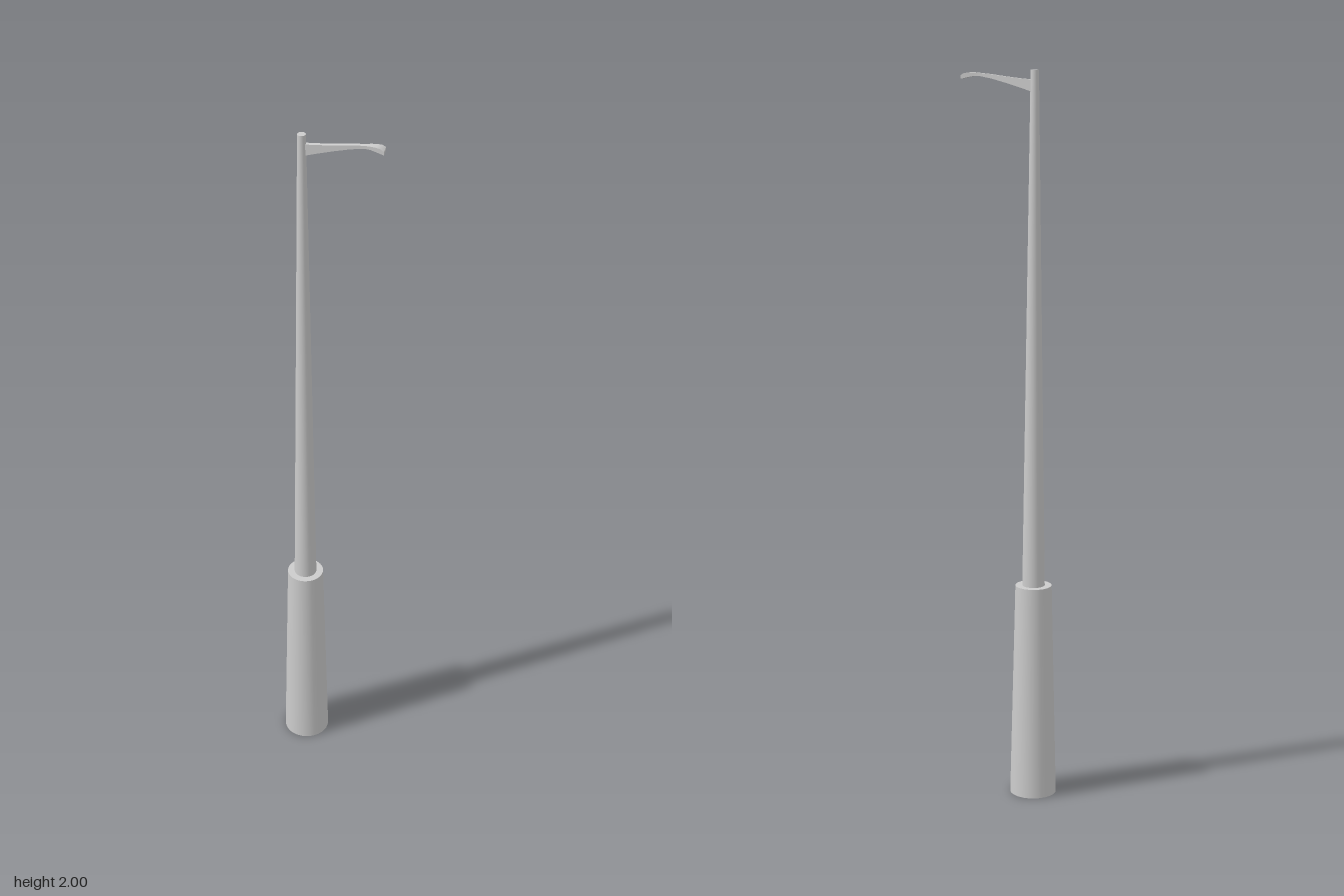
import * as THREE from 'three';

const AXIS_X = -0.073;

export function createModel() {
  const group = new THREE.Group();
  const material = new THREE.MeshStandardMaterial({ color: 0xcccccc });

  const add = (name, geometry, x = 0, y = 0) => {
    const mesh = new THREE.Mesh(geometry, material);
    mesh.name = name;
    mesh.position.set(x, y, 0);
    group.add(mesh);
  };

  // Tapered sleeve at the foot and the slender mast above it
  add('baseSleeve', new THREE.CylinderGeometry(0.05, 0.064, 0.6, 32), AXIS_X, 0.3);
  add('mast', new THREE.CylinderGeometry(0.011, 0.031, 1.4, 32), AXIS_X, 1.3);

  // Bracket arm sweeping into a flared lamp head: [x, bottom, top, half width]
  const stations = [
    [-0.073, 1.941, 1.974, 0.005],
    [-0.03, 1.954, 1.977, 0.005],
    [0.01, 1.965, 1.981, 0.005],
    [0.05, 1.975, 1.986, 0.005],
    [0.085, 1.981, 1.989, 0.005],
    [0.1, 1.981, 1.99, 0.0075],
    [0.115, 1.978, 1.99, 0.01],
    [0.127, 1.975, 1.988, 0.012],
    [0.136, 1.973, 1.982, 0.0135],
  ];
  const arm = new THREE.BoxGeometry(1, 1, 1, stations.length - 1, 1, 1);
  const pos = arm.attributes.position;
  for (let i = 0; i < pos.count; i++) {
    const s = Math.round((pos.getX(i) + 0.5) * (stations.length - 1));
    const [x, bottom, top, half] = stations[s];
    pos.setXYZ(i, x, pos.getY(i) > 0 ? top : bottom, Math.sign(pos.getZ(i)) * half);
  }
  arm.computeVertexNormals();
  add('lampArm', arm);

  return group;
}
